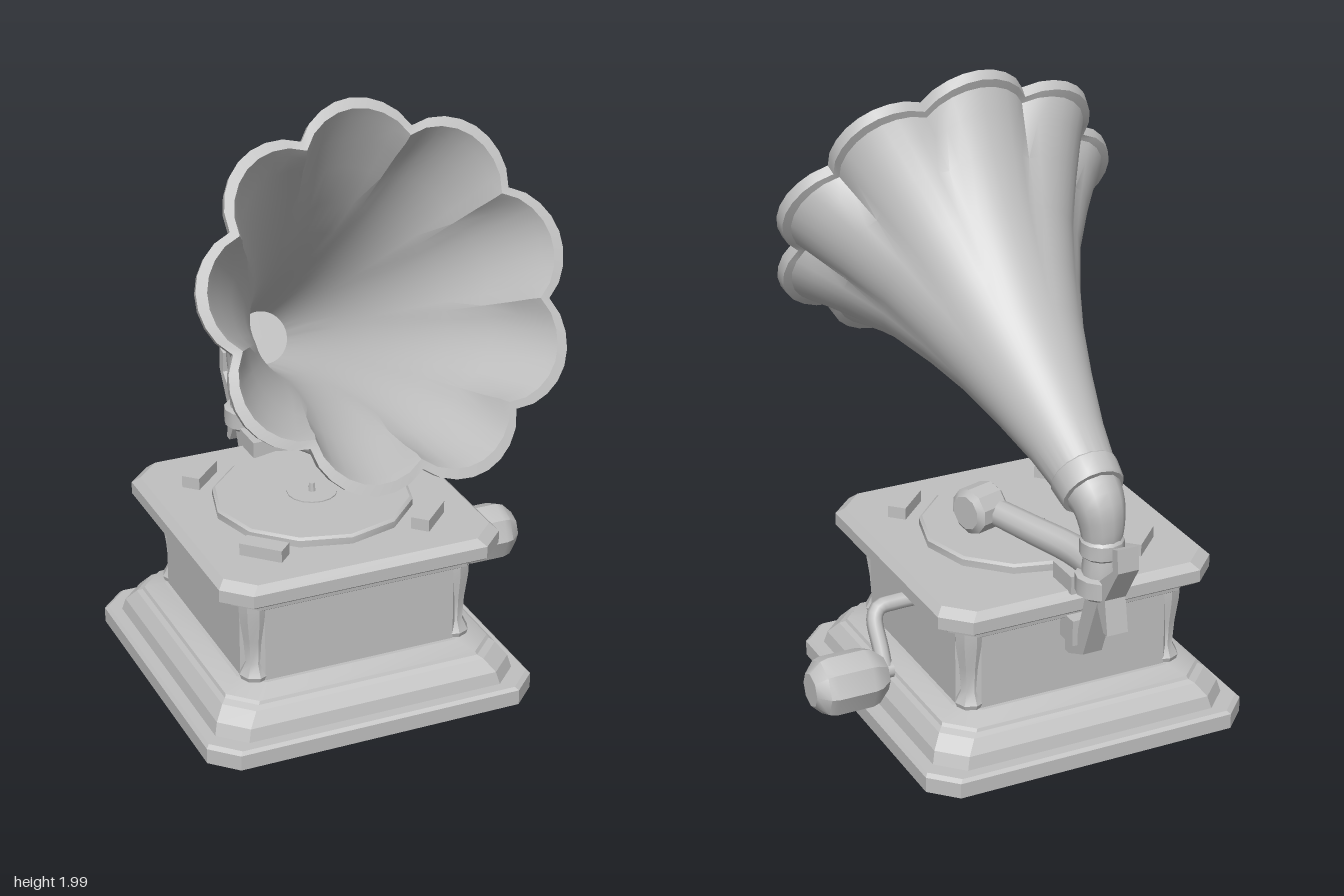
import * as THREE from 'three';
import { toCreasedNormals } from 'three/addons/utils/BufferGeometryUtils.js';

const V = (x, y, z) => new THREE.Vector3(x, y, z);
const CX = -0.11, CZ = -0.055;

// Skin a list of closed rings, with a fan over each end
function loft(rings, crease = 0.5) {
  const n = rings[0].length, pos = [], idx = [];
  rings.forEach(r => r.forEach(p => pos.push(p.x, p.y, p.z)));
  for (let i = 0; i < rings.length - 1; i++) {
    for (let j = 0; j < n; j++) {
      const k = (j + 1) % n, a = i * n + j, b = i * n + k, c = b + n, d = a + n;
      idx.push(a, b, c, a, c, d);
    }
  }
  [0, rings.length - 1].forEach((ri, end) => {
    const c = V(0, 0, 0);
    rings[ri].forEach(p => c.addScaledVector(p, 1 / n));
    const ci = pos.length / 3;
    pos.push(c.x, c.y, c.z);
    for (let j = 0; j < n; j++) {
      const a = ri * n + j, b = ri * n + (j + 1) % n;
      if (end) idx.push(ci, a, b); else idx.push(ci, b, a);
    }
  });
  const g = new THREE.BufferGeometry();
  g.setAttribute('position', new THREE.Float32BufferAttribute(pos, 3));
  g.setIndex(idx);
  return toCreasedNormals(g, crease);
}

// Square ring with cut corners
function cutSquare(h, c, y) {
  const k = h - c;
  return [[h, k], [h, -k], [k, -h], [-k, -h], [-h, -k], [-h, k], [-k, h], [k, h]]
    .map(([x, z]) => V(x, y, z));
}

// Round tube through points, with a radius at each end
function pipe(points, r0, r1, sides = 10, steps = 12) {
  const curve = new THREE.CatmullRomCurve3(points.map(p => V(...p)));
  const f = curve.computeFrenetFrames(steps);
  const rings = [];
  for (let i = 0; i <= steps; i++) {
    const c = curve.getPointAt(i / steps), r = r0 + (r1 - r0) * i / steps, ring = [];
    for (let j = 0; j < sides; j++) {
      const a = j / sides * Math.PI * 2;
      ring.push(c.clone().addScaledVector(f.normals[i], r * Math.cos(a)).addScaledVector(f.binormals[i], r * Math.sin(a)));
    }
    rings.push(ring);
  }
  return loft(rings, 0.9);
}

// Turned part around y from [radius, y] pairs
function turned(profile, sides = 12, crease = 0.6) {
  return loft(profile.map(([r, y]) => Array.from({ length: sides }, (_, j) => {
    const a = j / sides * Math.PI * 2;
    return V(r * Math.cos(a), y, -r * Math.sin(a));
  })), crease);
}

// Plate cut in the z-y plane, centred on x = 0
function sidePlate(points, width) {
  const g = new THREE.ExtrudeGeometry(new THREE.Shape(points.map(([z, y]) => new THREE.Vector2(-z, y))),
    { depth: width, bevelEnabled: false });
  g.translate(0, 0, -width / 2);
  g.rotateY(Math.PI / 2);
  return g;
}

export function createModel() {
  const group = new THREE.Group();
  const grey = new THREE.MeshStandardMaterial({ color: 0xc0c0c0 });
  grey.name = 'grey';
  const add = (name, geo, x = 0, y = 0, z = 0, parent = group) => {
    const m = new THREE.Mesh(geo, grey);
    m.name = name;
    m.position.set(x, y, z);
    parent.add(m);
    return m;
  };

  // Cabinet: stacked cut-corner layers as [half width, corner cut, y]
  const layers = {
    basePlate: [[0.55, 0.08, 0], [0.55, 0.08, 0.05], [0.54, 0.08, 0.06]],
    baseMoulding: [[0.505, 0.08, 0.06], [0.495, 0.08, 0.1], [0.465, 0.08, 0.14], [0.45, 0.08, 0.15], [0.445, 0.08, 0.16], [0.39, 0.07, 0.185]],
    cabinetBody: [[0.378, 0.06, 0.18], [0.378, 0.06, 0.46]],
    topMoulding: [[0.4, 0.07, 0.445], [0.415, 0.07, 0.455], [0.42, 0.07, 0.495]],
    topSlab: [[0.455, 0.08, 0.49], [0.468, 0.08, 0.5], [0.468, 0.08, 0.54], [0.445, 0.08, 0.563]],
  };
  for (const [name, rings] of Object.entries(layers)) {
    add(name, loft(rings.map(r => cutSquare(...r)), 0.3), CX, 0, CZ);
  }

  // Carved corner posts
  const post = turned([[0.045, 0.185], [0.05, 0.2], [0.03, 0.24], [0.036, 0.32], [0.048, 0.4], [0.05, 0.45]], 8);
  for (const sx of [-1, 1]) for (const sz of [-1, 1]) add('cornerPost', post, CX + sx * 0.338, 0, CZ + sz * 0.338);

  // Turntable, record label, spindle and edge blocks
  add('turntable', turned([[0.32, 0.56], [0.32, 0.585], [0.31, 0.592]], 12), CX, 0, CZ);
  add('recordLabel', turned([[0.08, 0.59], [0.08, 0.596]], 16), CX, 0, CZ);
  add('spindle', turned([[0.012, 0.59], [0.01, 0.625]], 8), CX, 0, CZ);
  for (const [sx, sz] of [[-1, 1], [-1, -1], [1, 1]]) {
    const b = add('edgeBlock', new THREE.BoxGeometry(0.14, 0.045, 0.06), CX + sx * 0.275, 0.58, CZ + sz * 0.275);
    b.rotation.y = sx * sz * Math.PI / 4;
  }

  // Horn: nine-lobed flare as [distance along axis, radius, lobe depth], outside then inside
  const profile = [
    [-1.18, 0.093, 0], [-1.0, 0.122, 0], [-0.82, 0.164, 0], [-0.65, 0.211, 0], [-0.5, 0.262, 0.004], [-0.34, 0.325, 0.012],
    [-0.2, 0.395, 0.03], [-0.1, 0.445, 0.052], [-0.04, 0.475, 0.07], [-0.035, 0.498, 0.075], [0, 0.505, 0.075],
    [0.004, 0.475, 0.072], [-0.03, 0.455, 0.07], [-0.1, 0.428, 0.05], [-0.2, 0.38, 0.03], [-0.34, 0.312, 0.012],
    [-0.5, 0.25, 0.004], [-0.65, 0.2, 0], [-0.82, 0.153, 0], [-1.0, 0.112, 0], [-1.15, 0.08, 0],
  ];
  const SIDES = 72;
  const hornRings = profile.map(([s, r, lobe]) => Array.from({ length: SIDES }, (_, j) => {
    const a = j / SIDES * Math.PI * 2;
    const R = r + lobe * Math.pow(Math.abs(Math.cos(4.5 * (a - Math.PI / 2))), 0.8);
    return V(R * Math.cos(a), s, -R * Math.sin(a));
  }));
  const horn = new THREE.Group();
  horn.name = 'horn';
  horn.position.set(-0.1, 1.48, 0.497);
  horn.rotation.x = 61.5 * Math.PI / 180;
  group.add(horn);
  add('hornFlare', loft(hornRings, 0.6), 0, 0, 0, horn);
  add('hornCollar', turned([[0.098, -1.2], [0.102, -1.19], [0.108, -1.13], [0.1, -1.12]], 16), 0, 0, 0, horn);

  // Elbow and stacked collars below the horn
  add('elbow', pipe([[-0.1, 0.93, -0.515], [-0.105, 0.885, -0.575], [-0.11, 0.82, -0.593], [-0.11, 0.75, -0.595]], 0.094, 0.058, 12));
  add('neckCollars', turned([[0.06, 0.78], [0.068, 0.77], [0.068, 0.725], [0.056, 0.715], [0.06, 0.68], [0.06, 0.66],
    [0.08, 0.655], [0.08, 0.6], [0.06, 0.585]].reverse(), 12), CX, 0, -0.597);

  // Rear bracket, its mount on the cabinet, and the lever
  add('bracket', sidePlate([[-0.57, 0.6], [-0.64, 0.59], [-0.55, 0.36], [-0.46, 0.32], [-0.42, 0.32], [-0.42, 0.36], [-0.5, 0.38]], 0.065), CX);
  add('bracketMount', new THREE.BoxGeometry(0.1, 0.085, 0.1), CX, 0.418, -0.465);
  add('lever', sidePlate([[-0.725, 0.8], [-0.755, 0.81], [-0.762, 0.735], [-0.685, 0.61], [-0.705, 0.5], [-0.68, 0.5],
    [-0.64, 0.57], [-0.65, 0.66], [-0.73, 0.73]], 0.07), CX);
  add('armRest', new THREE.BoxGeometry(0.12, 0.06, 0.12), CX, 0.587, -0.46);

  // Tonearm with sound box and needle
  add('tonearm', pipe([[CX, 0.66, -0.6], [-0.1, 0.663, -0.45], [-0.04, 0.67, -0.27], [0.02, 0.68, -0.11]], 0.05, 0.042));
  const box = add('soundBox', turned([[0.06, -0.06], [0.075, -0.045], [0.075, 0.045], [0.055, 0.06]], 10), 0.05, 0.685, -0.095);
  box.rotation.set(0, 0.3, -Math.PI / 2);
  add('needle', pipe([[0.05, 0.64, -0.07], [0.03, 0.61, -0.05], [0.02, 0.59, -0.03]], 0.012, 0.005, 6, 4));

  // Crank rod and handle
  add('crankRod', pipe([[0.24, 0.415, -0.085], [0.34, 0.415, -0.085], [0.395, 0.41, -0.088], [0.415, 0.385, -0.1],
    [0.417, 0.3, -0.148], [0.418, 0.24, -0.18]], 0.026, 0.026, 8, 20));
  const handle = add('crankHandle', turned([[0.055, -0.125], [0.09, -0.085], [0.097, -0.06], [0.097, 0.06], [0.09, 0.085], [0.055, 0.12]], 8), 0.55, 0.235, -0.185);
  handle.rotation.z = -Math.PI / 2;
  add('handlePin', new THREE.CylinderGeometry(0.026, 0.026, 0.06, 8).rotateZ(Math.PI / 2), 0.425, 0.24, -0.182);

  return group;
}
